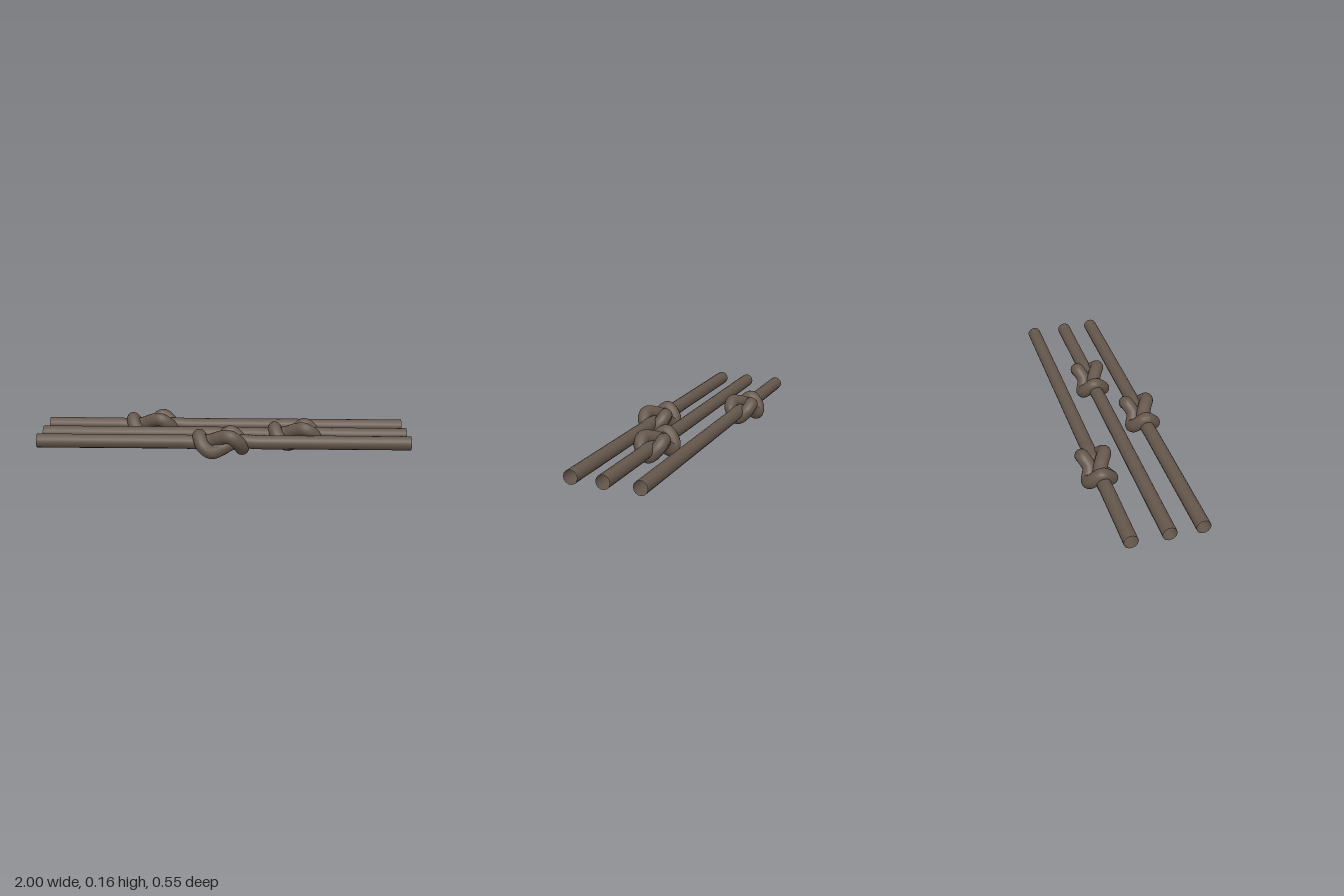
import * as THREE from 'three';

const RADIUS = 0.0375;
const HEIGHT = 0.079;

// First half of an overhand knot, relative to the knot centre; the second half
// is the same path turned half a revolution about the z axis.
const HALF_KNOT = [
  [-0.2, 0, 0],
  [-0.11, -0.003, 0],
  [-0.05, 0.008, 0.006],
  [0.0, 0.031, 0.03],
  [0.05, 0.041, 0.057],
  [0.092, 0.012, 0.05],
  [0.115, -0.033, 0],
  [0.092, 0.012, -0.05],
  [0.05, 0.04, -0.058],
];

function knottedPath(knotX, z) {
  const place = ([x, y, dz]) => new THREE.Vector3(knotX + x, HEIGHT + y, z + dz);
  const secondHalf = HALF_KNOT.map(([x, y, dz]) => [-x, -y, dz]).reverse();
  const points = [
    new THREE.Vector3(-1, HEIGHT, z),
    place([-0.3, 0, 0]),
    ...HALF_KNOT.map(place),
    place([0, 0, -0.036]),
    ...secondHalf.map(place),
    place([0.3, 0, 0]),
    new THREE.Vector3(1, HEIGHT, z),
  ];
  const curve = new THREE.CatmullRomCurve3(points, false, 'centripetal');
  curve.arcLengthDivisions = 2000;
  return curve;
}

export function createModel() {
  const group = new THREE.Group();
  group.name = 'knottedRopes';
  const material = new THREE.MeshStandardMaterial({ color: 0x64564b, side: THREE.DoubleSide });

  // Three parallel open-ended ropes, each with one knot
  const ropes = [
    ['backRope', -0.41, -0.182],
    ['middleRope', 0.393, 0.011],
    ['frontRope', -0.013, 0.182],
  ];
  for (const [name, knotX, z] of ropes) {
    const geometry = new THREE.TubeGeometry(knottedPath(knotX, z), 320, RADIUS, 14, false);
    const rope = new THREE.Mesh(geometry, material);
    rope.name = name;
    group.add(rope);
  }
  return group;
}
